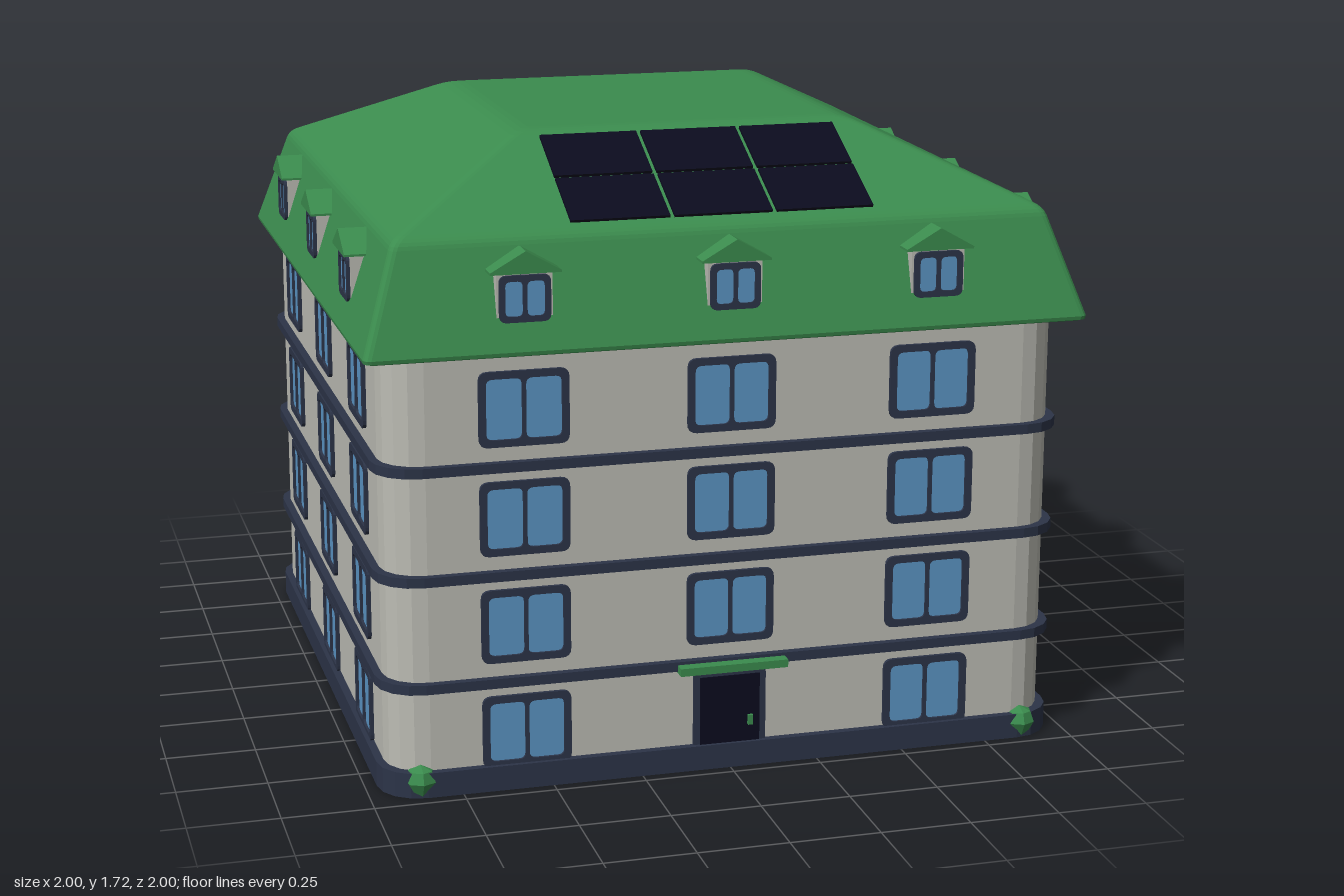
import * as THREE from 'three';

const mat = (name, color) => {
  const m = new THREE.MeshStandardMaterial({ color });
  m.name = name;
  return m;
};

// Rounded rectangle outline, centred on (x, y)
function roundRect(Type, x, y, w, h, r) {
  const p = new Type();
  const a = x - w / 2, b = x + w / 2, c = y - h / 2, d = y + h / 2;
  p.moveTo(a + r, c);
  p.lineTo(b - r, c);
  p.quadraticCurveTo(b, c, b, c + r);
  p.lineTo(b, d - r);
  p.quadraticCurveTo(b, d, b - r, d);
  p.lineTo(a + r, d);
  p.quadraticCurveTo(a, d, a, d - r);
  p.lineTo(a, c + r);
  p.quadraticCurveTo(a, c, a + r, c);
  return p;
}

// Faceted solid from rounded-square rings, each [half width, y]
function squareLoft(levels, radius, steps = 4) {
  const pos = [], index = [], n = 4 * (steps + 1);
  for (const [half, y] of levels) {
    for (let k = 0; k < 4; k++) {
      const sx = k === 0 || k === 3 ? 1 : -1, sz = k < 2 ? 1 : -1;
      for (let i = 0; i <= steps; i++) {
        const t = (k + i / steps) * Math.PI / 2;
        pos.push(sx * (half - radius) + radius * Math.cos(t), y, sz * (half - radius) + radius * Math.sin(t));
      }
    }
  }
  const last = levels.length - 1, bottom = n * levels.length, top = bottom + 1;
  pos.push(0, levels[0][1], 0, 0, levels[last][1], 0);
  for (let j = 0; j < n; j++) {
    const j2 = (j + 1) % n;
    for (let l = 0; l < last; l++) {
      const a = l * n + j, b = l * n + j2;
      index.push(a, a + n, b, b, a + n, b + n);
    }
    index.push(bottom, j, j2, top, last * n + j2, last * n + j);
  }
  const g = new THREE.BufferGeometry();
  g.setAttribute('position', new THREE.Float32BufferAttribute(pos, 3));
  g.setIndex(index);
  const flat = g.toNonIndexed();
  flat.computeVertexNormals();
  return flat;
}

export function createModel() {
  const wall = mat('wall stone', 0xbcbcb4);
  const green = mat('roof green', 0x3b8c4e);
  const navy = mat('navy trim', 0x2c3448);
  const glass = mat('window blue', 0x5b95c5);
  const dark = mat('dark panel', 0x0b0b1e);

  const model = new THREE.Group();
  model.name = 'apartmentBuilding';
  const add = (parent, name, geo, material, x = 0, y = 0, z = 0) => {
    const m = new THREE.Mesh(geo, material);
    m.name = name;
    m.position.set(x, y, z);
    parent.add(m);
    return m;
  };
  const box = (w, h, d) => new THREE.BoxGeometry(w, h, d);
  const extrude = (shape, depth) => new THREE.ExtrudeGeometry(shape, { depth, bevelEnabled: false, curveSegments: 4 });

  // Walls, plinth and floor bands
  add(model, 'walls', squareLoft([[0.945, 0.02], [0.945, 1.23]], 0.11), wall);
  add(model, 'plinth', squareLoft([[0.967, 0], [0.967, 0.07]], 0.12), navy);
  const band = squareLoft([[0.967, -0.0135], [0.967, 0.0135]], 0.12);
  for (const y of [0.307, 0.607, 0.907]) add(model, 'floorBand', band, navy, 0, y, 0);

  // Two-pitch roof with softened knee and top edges
  const v = (x, y) => new THREE.Vector2(x, y);
  const knee = new THREE.QuadraticBezierCurve(v(0.912, 1.492), v(0.905, 1.513), v(0.882, 1.524));
  const crown = new THREE.QuadraticBezierCurve(v(0.515, 1.698), v(0.475, 1.718), v(0.435, 1.718));
  const roofLevels = [[0.988, 1.212], [0.998, 1.216], [1, 1.226]];
  for (const c of [knee, crown]) for (const p of c.getPoints(4)) roofLevels.push([p.x, p.y]);
  add(model, 'roof', squareLoft(roofLevels, 0.02, 3), green);

  // Two-pane window parts: frame with two holes, and the glass behind it
  function windowParts(w, h, border, mullion, r, depth) {
    const paneW = (w - 2 * border - mullion) / 2, paneH = h - 2 * border;
    const frame = roundRect(THREE.Shape, 0, 0, w, h, r);
    for (const s of [-1, 1]) {
      frame.holes.push(roundRect(THREE.Path, s * (paneW + mullion) / 2, 0, paneW, paneH, r * 0.7));
    }
    return { frame: extrude(frame, depth), pane: box(w - border, h - border, 0.004) };
  }
  const mainWindow = windowParts(0.245, 0.205, 0.02, 0.011, 0.025, 0.012);
  const dormerWindow = windowParts(0.138, 0.125, 0.016, 0.012, 0.02, 0.01);
  function addWindow(parent, name, parts, x, y, z) {
    const g = new THREE.Group();
    g.name = name;
    g.position.set(x, y, z);
    add(g, 'windowFrame', parts.frame, navy);
    add(g, 'windowPanes', parts.pane, glass, 0, 0, 0.003);
    parent.add(g);
  }

  // Dormer gable roof, a triangular prism running into the main roof
  const gable = new THREE.Shape([v(-0.095, 0), v(0.095, 0), v(0.095, 0.006), v(0, 0.06), v(-0.095, 0.006)]);
  const gableGeo = extrude(gable, 0.14);
  const columns = [-0.57, 0, 0.57];

  // The four facades
  ['front', 'left', 'back', 'right'].forEach((label, k) => {
    const side = new THREE.Group();
    side.name = label + 'Facade';
    side.rotation.y = k * Math.PI / 2;
    model.add(side);
    for (const x of columns) {
      for (let floor = 0; floor < 4; floor++) {
        if (k === 0 && floor === 0 && x === 0) continue; // the door goes here
        addWindow(side, 'window', mainWindow, x, 0.163 + floor * 0.3, 0.943);
      }
      const dormer = new THREE.Group();
      dormer.name = 'dormer';
      dormer.position.x = x;
      side.add(dormer);
      add(dormer, 'dormerWalls', box(0.15, 0.13, 0.12), wall, 0, 1.372, 0.911);
      add(dormer, 'dormerRoof', gableGeo, green, 0, 1.431, 0.85);
      addWindow(dormer, 'dormerWindow', dormerWindow, 0, 1.363, 0.97);
    }
  });

  // Entrance
  const entrance = new THREE.Group();
  entrance.name = 'entrance';
  model.add(entrance);
  add(entrance, 'doorFrame', extrude(roundRect(THREE.Shape, 0, 0.165, 0.206, 0.23, 0.015), 0.012), navy, 0, 0, 0.942);
  add(entrance, 'door', box(0.17, 0.205, 0.006), dark, 0, 0.162, 0.954);
  add(entrance, 'doorHandle', box(0.014, 0.028, 0.014), green, 0.057, 0.133, 0.96);
  add(entrance, 'doorCanopy', box(0.305, 0.022, 0.06), green, 0, 0.301, 0.97);

  // Solar panels lying on the front slope
  const solar = new THREE.Group();
  solar.name = 'solarPanels';
  solar.position.set(0, 1.62, 0.687);
  solar.rotation.x = Math.atan(0.475);
  model.add(solar);
  for (const col of [-1, 0, 1]) {
    for (const row of [-1, 1]) {
      add(solar, 'solarPanel', box(0.272, 0.009, 0.191), dark, col * 0.284, 0, row * 0.101);
    }
  }

  // Small faceted shrubs at the front corners
  const profile = [v(0, 0), v(0.022, 0), v(0.045, 0.042), v(0.034, 0.072), v(0, 0.086)];
  const shrub = new THREE.LatheGeometry(profile, 7).toNonIndexed();
  shrub.computeVertexNormals();
  for (const s of [-1, 1]) add(model, 'shrub', shrub, green, s * 0.862, 0.001, 0.94);

  return model;
}
